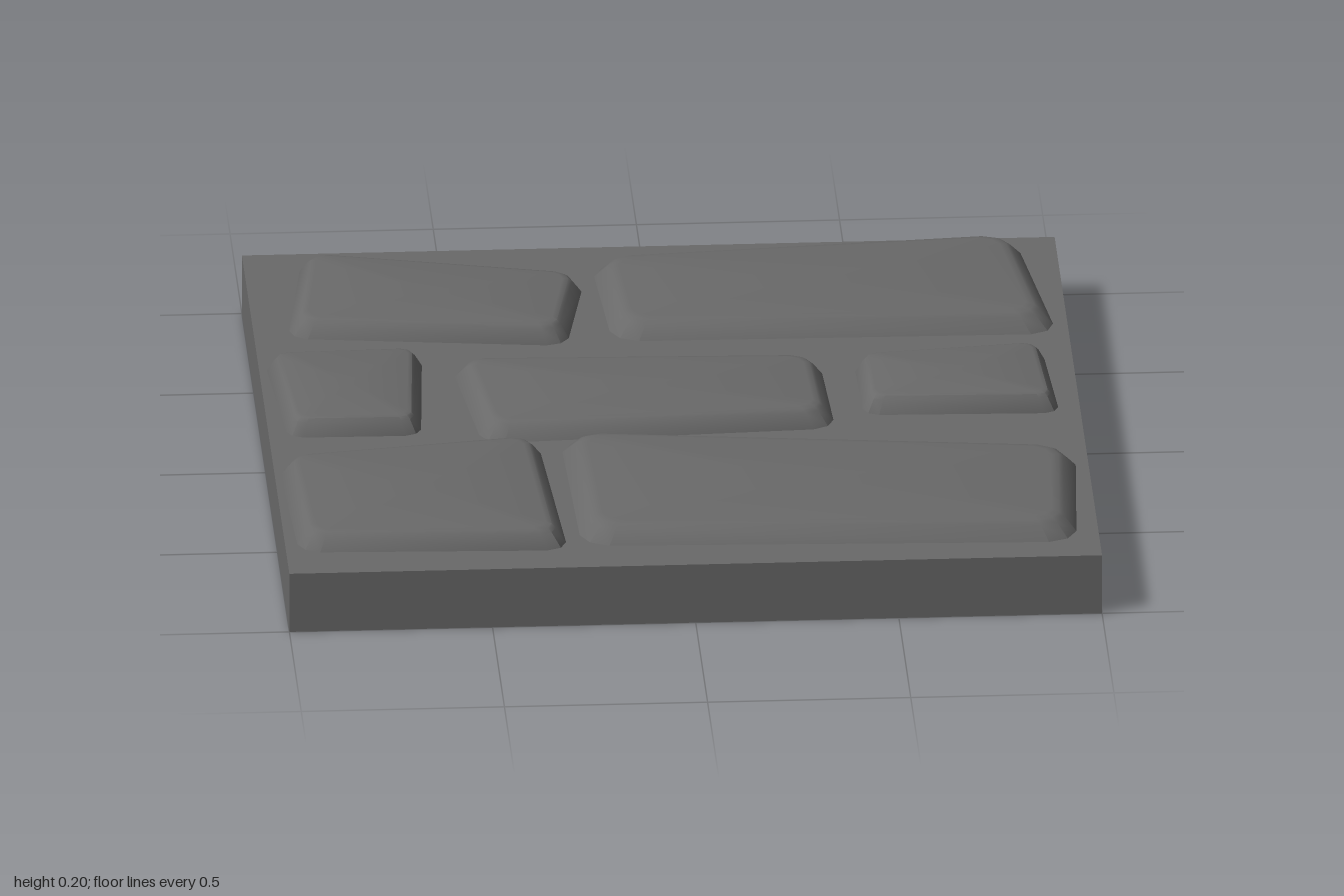
import * as THREE from 'three';
import { toCreasedNormals } from 'three/addons/utils/BufferGeometryUtils.js';

const SLAB_TOP = 0.155;

// Moves every edge of a quad inward by d and returns the new corners
function insetQuad(q, d) {
  const lines = q.map((p, i) => {
    const dir = q[(i + 1) % 4].clone().sub(p).normalize();
    return { p: p.clone().add(new THREE.Vector2(-dir.y, dir.x).multiplyScalar(d)), dir };
  });
  return lines.map((b, i) => {
    const a = lines[(i + 3) % 4];
    const t = b.p.clone().sub(a.p).cross(b.dir) / a.dir.cross(b.dir);
    return a.p.clone().addScaledVector(a.dir, t);
  });
}

// Replaces each corner by three points of a small curve
function roundCorners(q, cut) {
  return q.flatMap((p, i) => {
    const a = p.clone().add(q[(i + 3) % 4].clone().sub(p).setLength(cut));
    const b = p.clone().add(q[(i + 1) % 4].clone().sub(p).setLength(cut));
    const mid = a.clone().add(b).multiplyScalar(0.32).addScaledVector(p, 0.36);
    return [a, mid, b];
  });
}

// Bevelled stone: rounded quad rings stacked along a soft edge profile
function stoneGeometry(corners, bevel) {
  const quad = corners.map(([x, z]) => new THREE.Vector2(x, z));
  const profile = [[0, SLAB_TOP - 0.01], [0.05, SLAB_TOP], [0.6, 0.188], [0.82, 0.196], [1.15, 0.199]];
  const pos = [], index = [], n = 12;
  for (const [k, y] of profile) {
    for (const p of roundCorners(insetQuad(quad, k * bevel), bevel * (1.25 - 0.35 * k))) pos.push(p.x, y, p.y);
  }
  const c = quad.reduce((s, p) => s.addScaledVector(p, 0.25), new THREE.Vector2());
  pos.push(c.x, 0.2, c.y);
  const last = (profile.length - 1) * n;
  for (let i = 0; i < n; i++) {
    const j = (i + 1) % n;
    for (let r = 0; r < last; r += n) index.push(r + i, r + n + i, r + n + j, r + i, r + n + j, r + j);
    index.push(last + n, last + j, last + i);
  }
  const g = new THREE.BufferGeometry();
  g.setAttribute('position', new THREE.Float32BufferAttribute(pos, 3));
  g.setIndex(index);
  return toCreasedNormals(g, 0.55);
}

export function createModel() {
  const group = new THREE.Group();
  const stone = new THREE.MeshStandardMaterial({ color: 0x696969 });
  stone.name = 'grey stone';

  // Square slab
  const slab = new THREE.Mesh(new THREE.BoxGeometry(2, SLAB_TOP, 2), stone);
  slab.position.y = SLAB_TOP / 2;
  slab.name = 'slab';
  group.add(slab);

  // Paving stones: corners [x, z] from back left, clockwise seen from above; bevel width
  const stones = [
    [[[-0.86, -0.945], [-0.17, -0.775], [-0.235, -0.385], [-0.92, -0.47]], 0.04],
    [[[-0.15, -0.885], [0.905, -0.97], [0.975, -0.39], [-0.125, -0.405]], 0.053],
    [[[-0.985, -0.315], [-0.595, -0.325], [-0.625, 0.155], [-0.955, 0.15]], 0.031],
    [[[-0.53, -0.265], [0.38, -0.235], [0.395, 0.17], [-0.48, 0.215]], 0.044],
    [[[0.46, -0.225], [0.93, -0.275], [0.95, 0.105], [0.465, 0.09]], 0.031],
    [[[-0.99, 0.325], [-0.34, 0.23], [-0.305, 0.895], [-0.97, 0.87]], 0.042],
    [[[-0.29, 0.205], [0.975, 0.36], [0.945, 0.915], [-0.275, 0.87]], 0.055],
  ];
  stones.forEach(([corners, bevel], i) => {
    const mesh = new THREE.Mesh(stoneGeometry(corners, bevel), stone);
    mesh.name = `pavingStone${i + 1}`;
    group.add(mesh);
  });
  return group;
}
